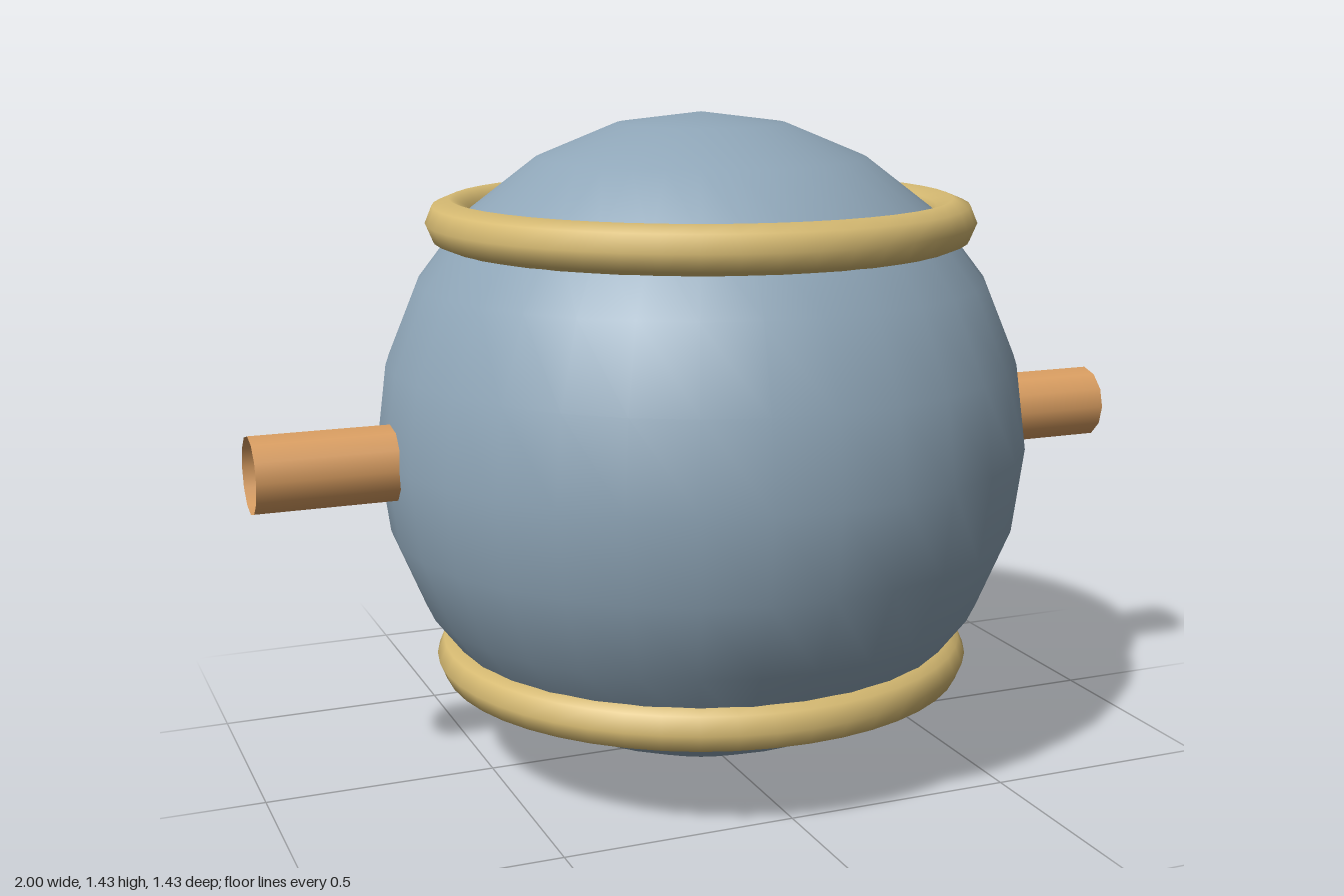
import * as THREE from 'three';

export function createModel() {
  const group = new THREE.Group();
  const steel = new THREE.MeshStandardMaterial({ color: 0x8fa6b8 });
  steel.name = 'blueGrey';
  const brass = new THREE.MeshStandardMaterial({ color: 0xd6ba72 });
  brass.name = 'brass';
  const copper = new THREE.MeshStandardMaterial({ color: 0xdb9f62, side: THREE.DoubleSide });
  copper.name = 'copper';

  const centreY = 0.72;
  const add = (name, geometry, material, x, y, z) => {
    const mesh = new THREE.Mesh(geometry, material);
    mesh.name = name;
    mesh.position.set(x, y, z);
    group.add(mesh);
    return mesh;
  };

  // Round vessel
  add('vesselBody', new THREE.SphereGeometry(0.715, 32, 12), steel, 0, centreY, 0);

  // Matching bands around the upper and lower shoulders
  for (const [name, side] of [['upperBand', 1], ['lowerBand', -1]]) {
    const band = add(name, new THREE.TorusGeometry(0.545, 0.052, 8, 48), brass, 0, centreY + side * 0.483, 0);
    band.rotation.x = Math.PI / 2;
  }

  // Open pipe stubs on both sides
  for (const [name, side] of [['leftPipe', 1], ['rightPipe', -1]]) {
    const pipe = add(name, new THREE.CylinderGeometry(0.083, 0.083, 0.4, 12, 1, true), copper, side * 0.8, centreY, 0);
    pipe.rotation.z = Math.PI / 2;
  }

  // Small sliver of brass lying on the lower rear of the body
  const direction = new THREE.Vector3(0.45, -0.375, -0.4).normalize();
  const spot = direction.clone().multiplyScalar(0.708);
  const sliver = add('brassSliver', new THREE.SphereGeometry(1, 8, 6), brass, spot.x, centreY + spot.y, spot.z);
  sliver.scale.set(0.008, 0.035, 0.008);
  sliver.quaternion.setFromUnitVectors(
    new THREE.Vector3(0, 1, 0), new THREE.Vector3(0.375, 0.45, 0).normalize());

  return group;
}
